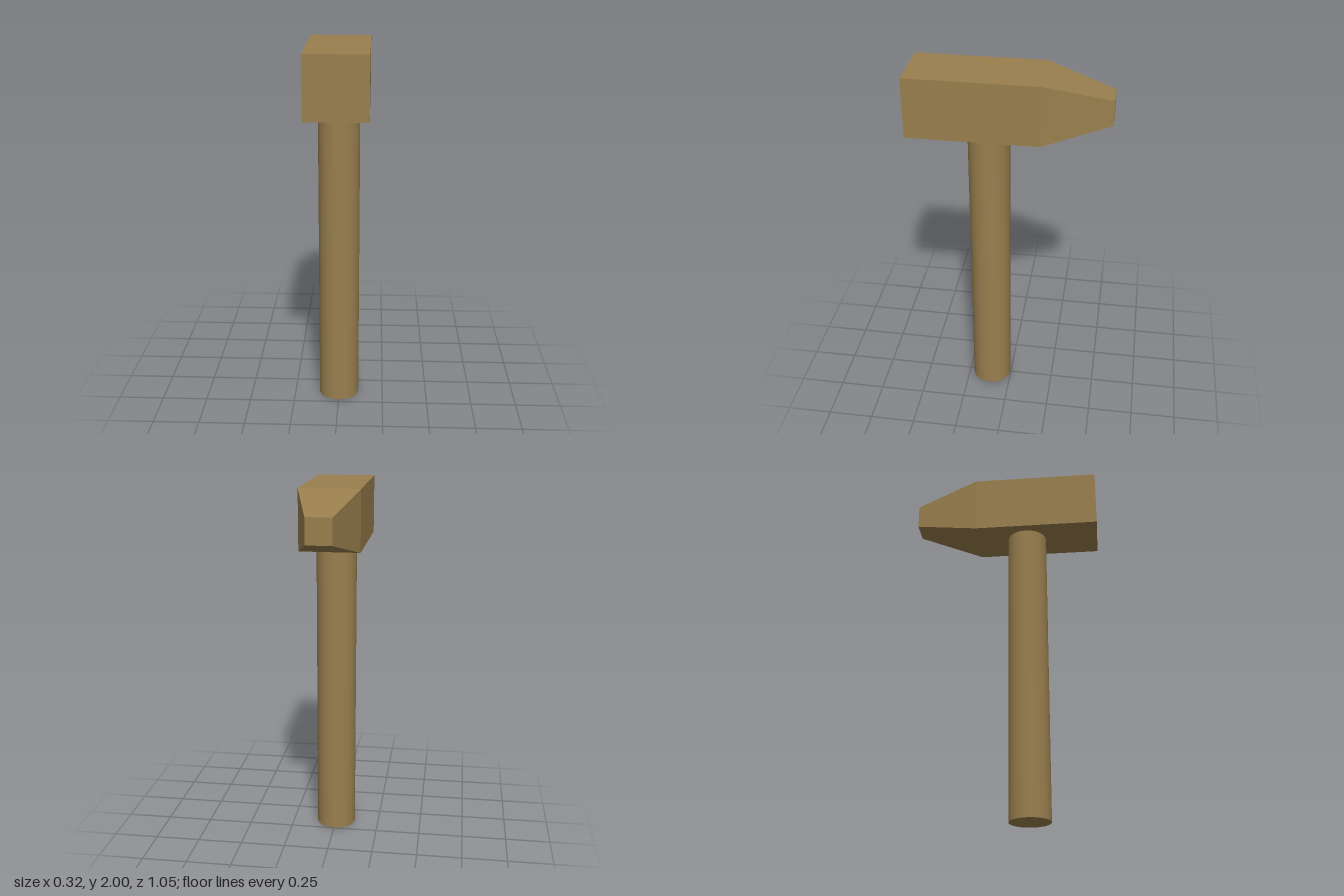
import * as THREE from 'three';

const wood = new THREE.MeshStandardMaterial({ color: 0x997f4e });
const flatWood = new THREE.MeshStandardMaterial({ color: 0x997f4e, flatShading: true });

// Square block whose rear end narrows to a small blunt peen
function hammerHead() {
  const size = 0.325, length = 1.05, shoulderZ = -0.17, peenScale = 0.415;
  const geometry = new THREE.BoxGeometry(size, size, length, 1, 1, 2);
  const p = geometry.attributes.position;
  for (let i = 0; i < p.count; i++) {
    const z = p.getZ(i);
    if (Math.abs(z) < 0.01) p.setZ(i, shoulderZ);
    else if (z < 0) p.setXYZ(i, p.getX(i) * peenScale, p.getY(i) * peenScale, z);
  }
  geometry.computeVertexNormals();
  const mesh = new THREE.Mesh(geometry, flatWood);
  mesh.name = 'head';
  mesh.position.y = 2 - size / 2;
  return mesh;
}

// Round shaft meeting the underside of the head
function hammerHandle() {
  const height = 1.675;
  const mesh = new THREE.Mesh(new THREE.CylinderGeometry(0.111, 0.111, height, 32), wood);
  mesh.name = 'handle';
  mesh.position.set(0, height / 2, 0.115);
  return mesh;
}

export function createModel() {
  const model = new THREE.Group();
  model.name = 'hammer';
  model.add(hammerHead(), hammerHandle());
  return model;
}
